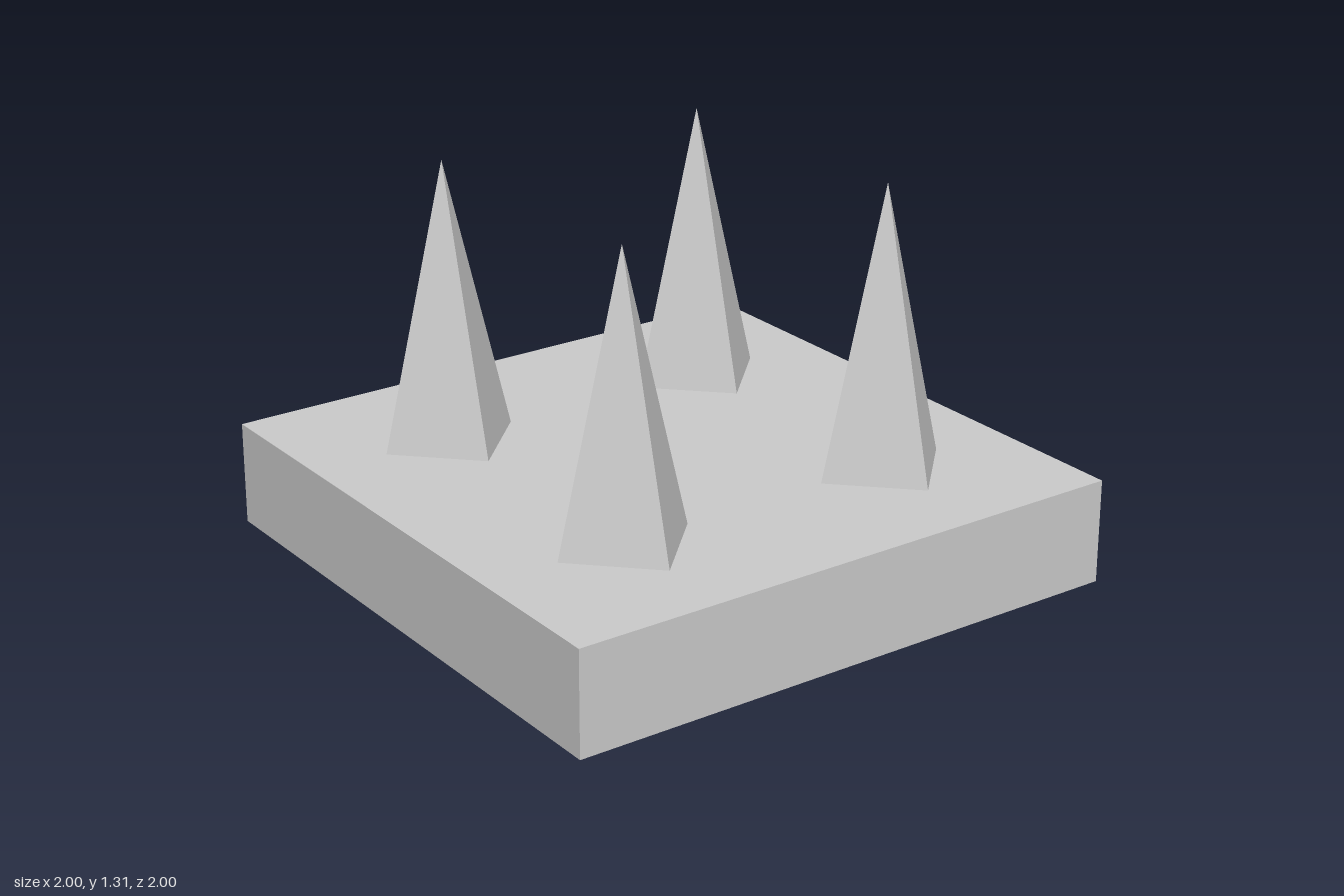
import * as THREE from 'three';

const BASE_HEIGHT = 0.353;
const SPIKE_TOP = 1.307;
const SPIKE_RADIUS = 0.239;

export function createModel() {
  const model = new THREE.Group();
  model.name = 'spikeTrap';
  const material = new THREE.MeshStandardMaterial({ color: 0xcccccc, flatShading: true });

  // Square slab
  const base = new THREE.Mesh(new THREE.BoxGeometry(2, BASE_HEIGHT, 2), material);
  base.name = 'base';
  base.position.y = BASE_HEIGHT / 2;
  model.add(base);

  // Four four-sided spikes, corners pointing along x and z; open where they meet the slab
  const height = SPIKE_TOP - BASE_HEIGHT;
  const spikeGeometry = new THREE.ConeGeometry(SPIKE_RADIUS, height, 4, 1, true);
  for (const [xName, x] of [['Right', -0.5], ['Left', 0.5]]) {
    for (const [zName, z] of [['front', 0.5], ['back', -0.5]]) {
      const spike = new THREE.Mesh(spikeGeometry, material);
      spike.name = `${zName}${xName}Spike`;
      spike.position.set(x, BASE_HEIGHT + height / 2, z);
      model.add(spike);
    }
  }

  return model;
}
